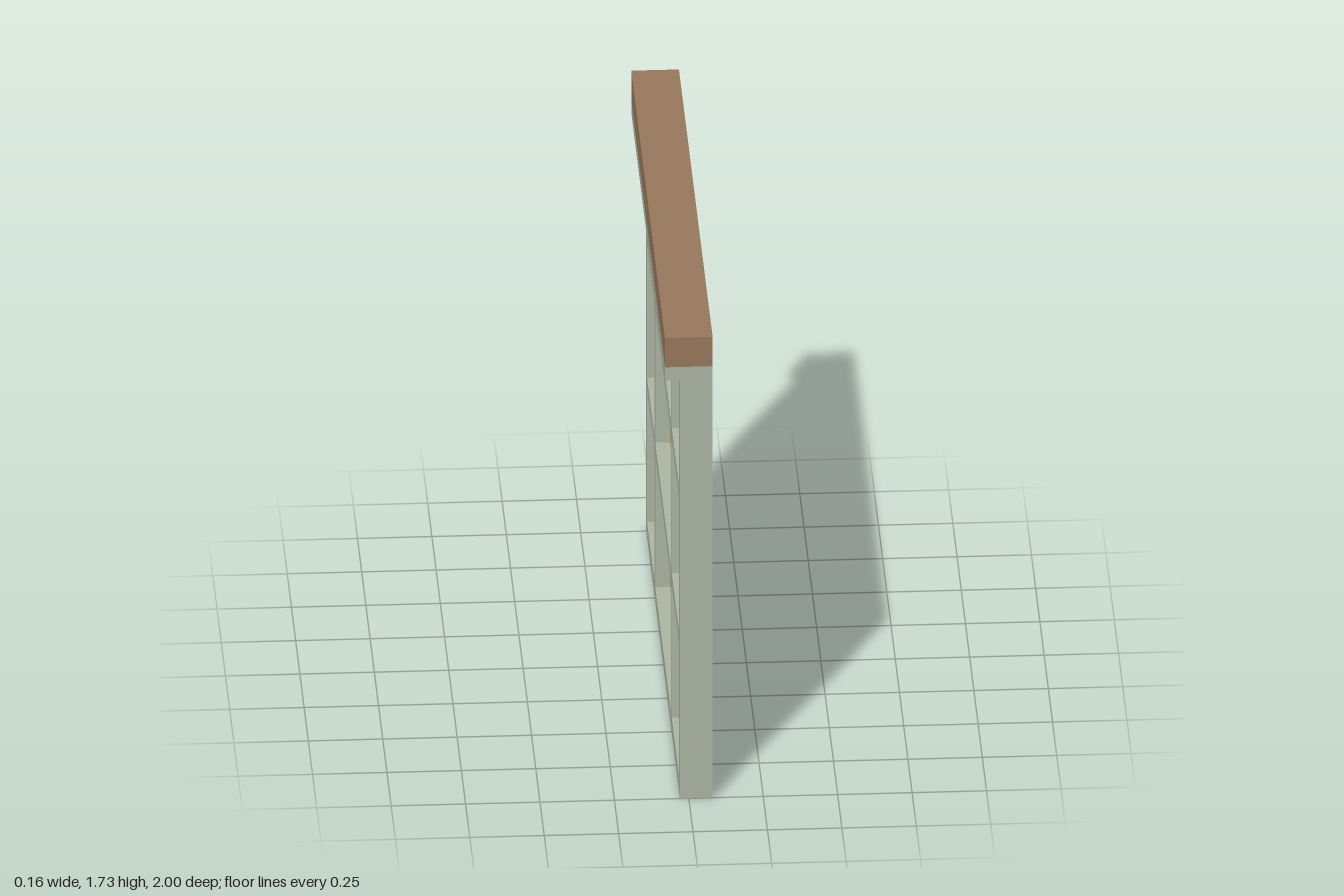
import * as THREE from 'three';

export function createModel() {
  const group = new THREE.Group();
  const material = (name, color) => {
    const m = new THREE.MeshStandardMaterial({ color });
    m.name = name;
    return m;
  };
  const frame = material('sage frame', 0xacb7a3);
  const panel = material('tan panel', 0xc5a66c);
  const wood = material('brown wood', 0x98795c);

  // Box given by its lower and upper limits on each axis
  const box = (name, mat, [x0, x1], [y0, y1], [z0, z1]) => {
    const mesh = new THREE.Mesh(new THREE.BoxGeometry(x1 - x0, y1 - y0, z1 - z0), mat);
    mesh.position.set((x0 + x1) / 2, (y0 + y1) / 2, (z0 + z1) / 2);
    mesh.name = name;
    group.add(mesh);
  };

  const back = -0.03, recess = 0.02, face = 0.08;
  const sillTop = 0.06, headBottom = 1.57, capBottom = 1.62;
  const posts = [[-1, -0.947], [-0.515, -0.462], [0.462, 0.515], [0.947, 1]];

  // Uprights run the full thickness of the wall
  posts.forEach((z) => box('post', frame, [back, face], [0, capBottom], z));

  // Each bay has a sill, a flush panel and two rails on the recessed side
  for (let i = 0; i < 3; i++) {
    const bay = [posts[i][1], posts[i + 1][0]];
    box('sill', frame, [back, face], [0, sillTop], bay);
    box('panel', panel, [recess, face], [sillTop, capBottom], bay);
    box('lowerRail', frame, [back, recess], [0.557, 0.602], bay);
    box('upperRail', frame, [back, recess], [1.103, 1.148], bay);
    box('headRail', frame, [back, recess], [headBottom, capBottom], bay);
  }

  // Overhanging ledge and wooden cap along the top
  box('ledge', frame, [-0.08, back], [headBottom, capBottom], [-1, 1]);
  box('cap', wood, [-0.08, face], [capBottom, 1.73], [-1, 1]);

  return group;
}
